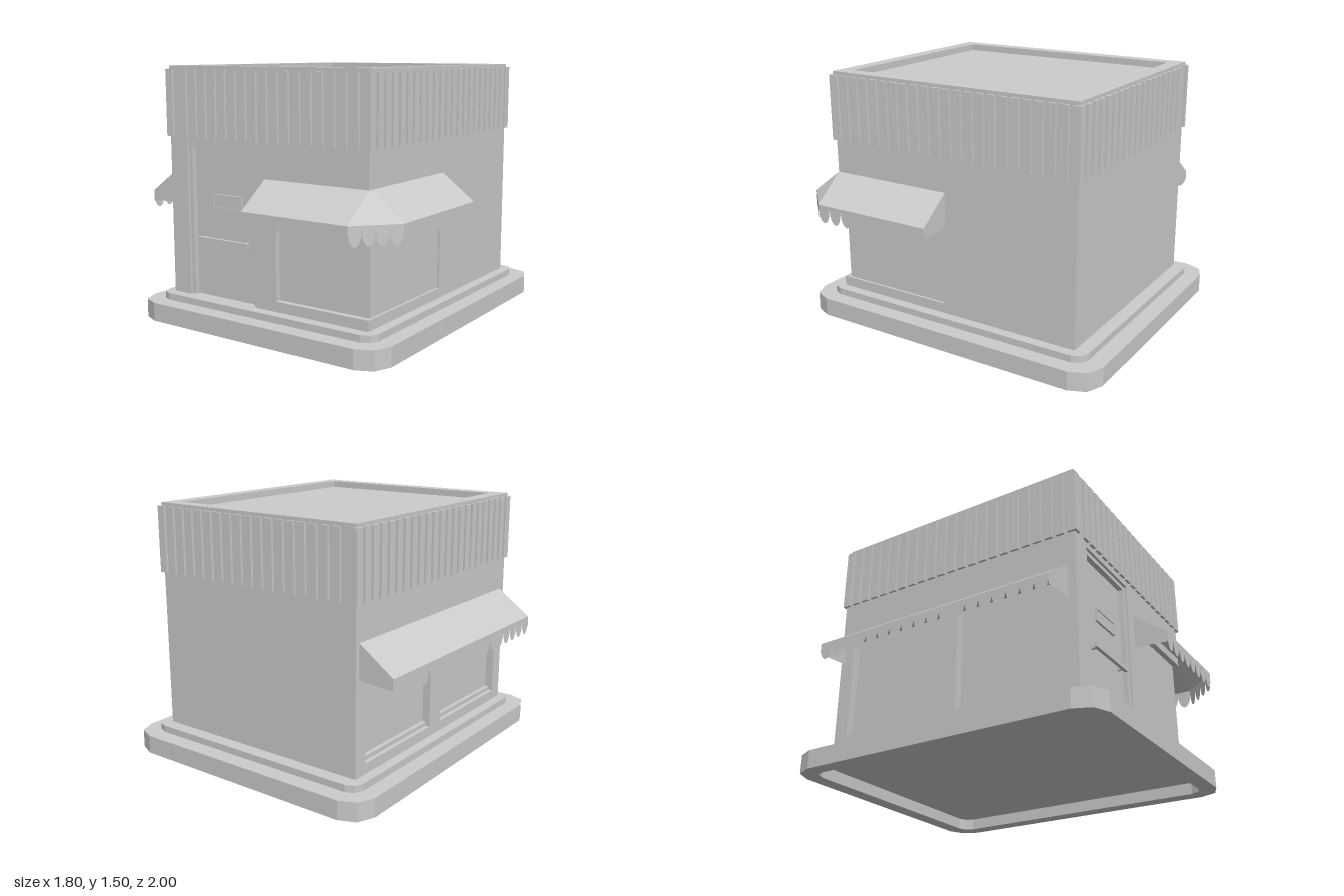
import * as THREE from 'three';

const mat = new THREE.MeshStandardMaterial({ color: 0xcccccc, flatShading: true });
const thin = new THREE.MeshStandardMaterial({ color: 0xcccccc, flatShading: true, side: THREE.DoubleSide });

// building footprint, wall thickness and heights
const X0 = -0.69, X1 = 0.70, Z0 = -0.82, Z1 = 0.80, T = 0.085;
const FLOOR = 0.15, TOP = 1.5, SILL = 0.21, HEAD = 0.84;
const AWN_TOP = 0.89, AWN_EDGE = 0.74;

function add(parent, name, geometry, material = mat) {
  const mesh = new THREE.Mesh(geometry, material);
  mesh.name = name;
  parent.add(mesh);
  return mesh;
}

// box given by its limits
function box(parent, name, x0, x1, y0, y1, z0, z1) {
  const m = add(parent, name, new THREE.BoxGeometry(x1 - x0, y1 - y0, z1 - z0));
  m.position.set((x0 + x1) / 2, (y0 + y1) / 2, (z0 + z1) / 2);
  return m;
}

const outline = pts => pts.map(p => new THREE.Vector2(p[0], p[1]));
const rect = (x0, x1, y0, y1) => outline([[x0, y0], [x1, y0], [x1, y1], [x0, y1]]);

function extrude(pts, depth, holes = []) {
  const shape = new THREE.Shape(pts);
  for (const h of holes) shape.holes.push(new THREE.Path(h));
  return new THREE.ExtrudeGeometry(shape, { depth, bevelEnabled: false });
}

// rectangle on the ground with corners cut in two facets
function plinthOutline(x0, x1, z0, z1, c) {
  const k = 0.3 * c;
  return outline([
    [x0 + c, -z0], [x0 + k, -z0 - k], [x0, -z0 - c],
    [x0, -z1 + c], [x0 + k, -z1 + k], [x0 + c, -z1],
    [x1 - c, -z1], [x1 - k, -z1 + k], [x1, -z1 + c],
    [x1, -z0 - c], [x1 - k, -z0 - k], [x1 - c, -z0],
  ]);
}

function buildBase(g) {
  // pavement ring, open underneath, with a raised step inside it
  const step = plinthOutline(-0.75, 0.76, -0.9, 0.865, 0.07);
  const ring = extrude(plinthOutline(-0.845, 0.855, -1, 0.965, 0.14), 0.11, [step]);
  add(g, 'pavement', ring.rotateX(-Math.PI / 2));
  add(g, 'step', extrude(step, 0.08).rotateX(-Math.PI / 2)).position.y = 0.07;
}

function buildWalls(g) {
  // front wall with door opening and the front half of the corner window
  const front = outline([
    [X0, FLOOR], [-0.56, FLOOR], [-0.56, 1.055], [-0.055, 1.055], [-0.055, FLOOR], [X1, FLOOR],
    [X1, SILL], [0.09, SILL], [0.09, HEAD], [X1, HEAD], [X1, TOP], [X0, TOP],
  ]);
  add(g, 'frontWall', extrude(front, T)).position.z = Z1 - T;
  box(g, 'backWall', X0, X1, FLOOR, TOP, Z0, Z0 + T);

  // side walls, drawn along z and turned into place
  const a = Z0 + T, b = Z1 - T;
  const right = outline([
    [a, FLOOR], [b, FLOOR], [b, SILL], [0.04, SILL], [0.04, HEAD], [b, HEAD], [b, TOP], [a, TOP],
  ]);
  add(g, 'rightWall', extrude(right, T).rotateY(-Math.PI / 2)).position.x = X1;
  const panes = [[-0.73, -0.08], [0.04, 0.71]];
  const left = extrude(rect(a, b, FLOOR, TOP), T, panes.map(p => rect(p[0], p[1], SILL, HEAD)));
  add(g, 'leftWall', left.rotateY(-Math.PI / 2)).position.x = X0 + T;

  // glass
  box(g, 'cornerWindow', 0.06, 0.685, SILL - 0.02, HEAD + 0.02, 0.01, 0.765);
  for (const [z0, z1] of panes) {
    box(g, 'leftWindow', X0 + 0.05, X0 + 0.07, SILL - 0.02, HEAD + 0.02, z0 - 0.01, z1 + 0.01);
    box(g, 'leftWindowSill', X0 + 0.025, X0 + 0.05, SILL, SILL + 0.025, z0, z1);
  }
  box(g, 'roof', X0 + 0.05, X1 - 0.05, 1.42, 1.46, Z0 + 0.05, Z1 - 0.05);
}

function buildDoor(g) {
  const door = new THREE.Group();
  door.name = 'door';
  g.add(door);
  const frame = outline([
    [-0.56, FLOOR], [-0.535, FLOOR], [-0.535, 1.03], [-0.08, 1.03],
    [-0.08, FLOOR], [-0.055, FLOOR], [-0.055, 1.055], [-0.56, 1.055],
  ]);
  add(door, 'doorFrame', extrude(frame, 0.05)).position.z = 0.735;
  box(door, 'doorPanel', -0.54, -0.075, FLOOR, 1.035, 0.725, 0.755);
  // push bar on two mounts
  box(door, 'pushBar', -0.49, -0.115, 0.48, 0.51, 0.785, 0.805);
  for (const x of [-0.47, -0.15]) box(door, 'pushBarMount', x, x + 0.015, 0.485, 0.505, 0.75, 0.79);
  // blank hanging sign with a raised rim
  box(door, 'signPlate', -0.395, -0.185, 0.69, 0.76, 0.75, 0.762);
  const rim = extrude(rect(-0.4, -0.18, 0.685, 0.765), 0.015, [rect(-0.393, -0.187, 0.692, 0.758)]);
  add(door, 'signRim', rim).position.z = 0.753;
}

function buildCladding(g) {
  // upright slats around the top of the walls
  const cladding = new THREE.Group();
  cladding.name = 'cladding';
  g.add(cladding);
  const y0 = 1.09, y1 = 1.48, d = 0.015, w = 0.05;
  for (let i = 0; i < 18; i++) {
    const x = -0.598 + i * 0.0744;
    box(cladding, 'frontSlat', x, x + w, y0, y1, Z1 - 0.01, Z1 + d);
    box(cladding, 'backSlat', x, x + w, y0, y1, Z0 - d, Z0 + 0.01);
  }
  box(cladding, 'frontCornerSlat', X0 - d, X0 + 0.035, y0, y1, Z1 - 0.01, Z1 + d);
  for (let i = 0; i < 23; i++) {
    const z = 0.76 - i * 0.0725;
    box(cladding, 'rightSlat', X1 - 0.01, X1 + d, y0, y1, z, z + w);
    box(cladding, 'leftSlat', X0 - d, X0 + 0.01, y0, y1, z, z + w);
  }
}

// scalloped strip hanging between two ground points
function valance(parent, [ax, az], [bx, bz], n) {
  const len = Math.hypot(bx - ax, bz - az), p = len / n;
  const s = new THREE.Shape();
  s.moveTo(0, 0);
  s.lineTo(0, -0.02);
  for (let i = 0; i < n; i++) s.absellipse((i + 0.5) * p, -0.02, p / 2, 0.088, Math.PI, 2 * Math.PI, false, 0);
  s.lineTo(len, 0);
  const m = add(parent, 'valance', new THREE.ShapeGeometry(s, 8), thin);
  m.position.set(ax, AWN_EDGE, az);
  m.rotation.y = Math.atan2(az - bz, bx - ax);
}

// sloping canopy between a line on the wall and an outer line, with closed ends
function awning(g, name, inner, outer, scallops) {
  const group = new THREE.Group();
  group.name = name;
  g.add(group);
  const v = [];
  const at = ([x, z], y) => [x, y, z];
  const quad = (a, b, c, d) => v.push(...a, ...b, ...c, ...a, ...c, ...d);
  for (let i = 0; i < scallops.length; i++) {
    const a = at(inner[i], AWN_TOP), b = at(outer[i], AWN_EDGE);
    const c = at(outer[i + 1], AWN_EDGE), d = at(inner[i + 1], AWN_TOP);
    if (inner[i] === inner[i + 1]) v.push(...a, ...b, ...c);
    else quad(a, b, c, d);
    valance(group, outer[i], outer[i + 1], scallops[i]);
  }
  for (const i of [0, scallops.length]) {
    quad(at(inner[i], AWN_TOP), at(outer[i], AWN_EDGE), at(outer[i], 0.675), at(inner[i], 0.69));
  }
  const geo = new THREE.BufferGeometry();
  geo.setAttribute('position', new THREE.Float32BufferAttribute(v, 3));
  geo.computeVertexNormals();
  add(group, 'canopy', geo, thin);
}

export function createModel() {
  const g = new THREE.Group();
  g.name = 'cornerShop';
  buildBase(g);
  buildWalls(g);
  buildDoor(g);
  buildCladding(g);
  // awning wrapping the front right corner
  const corner = [X1, Z1];
  awning(g, 'cornerAwning',
    [[0.02, Z1], corner, corner, [X1, 0.015]],
    [[0.02, 1], [0.705, 1], [0.9, 0.79], [0.9, 0.015]],
    [8, 4, 9]);
  // long awning on the other side
  awning(g, 'leftAwning', [[X0, -0.79], [X0, 0.75]], [[-0.9, -0.79], [-0.9, 0.75]], [18]);
  return g;
}
